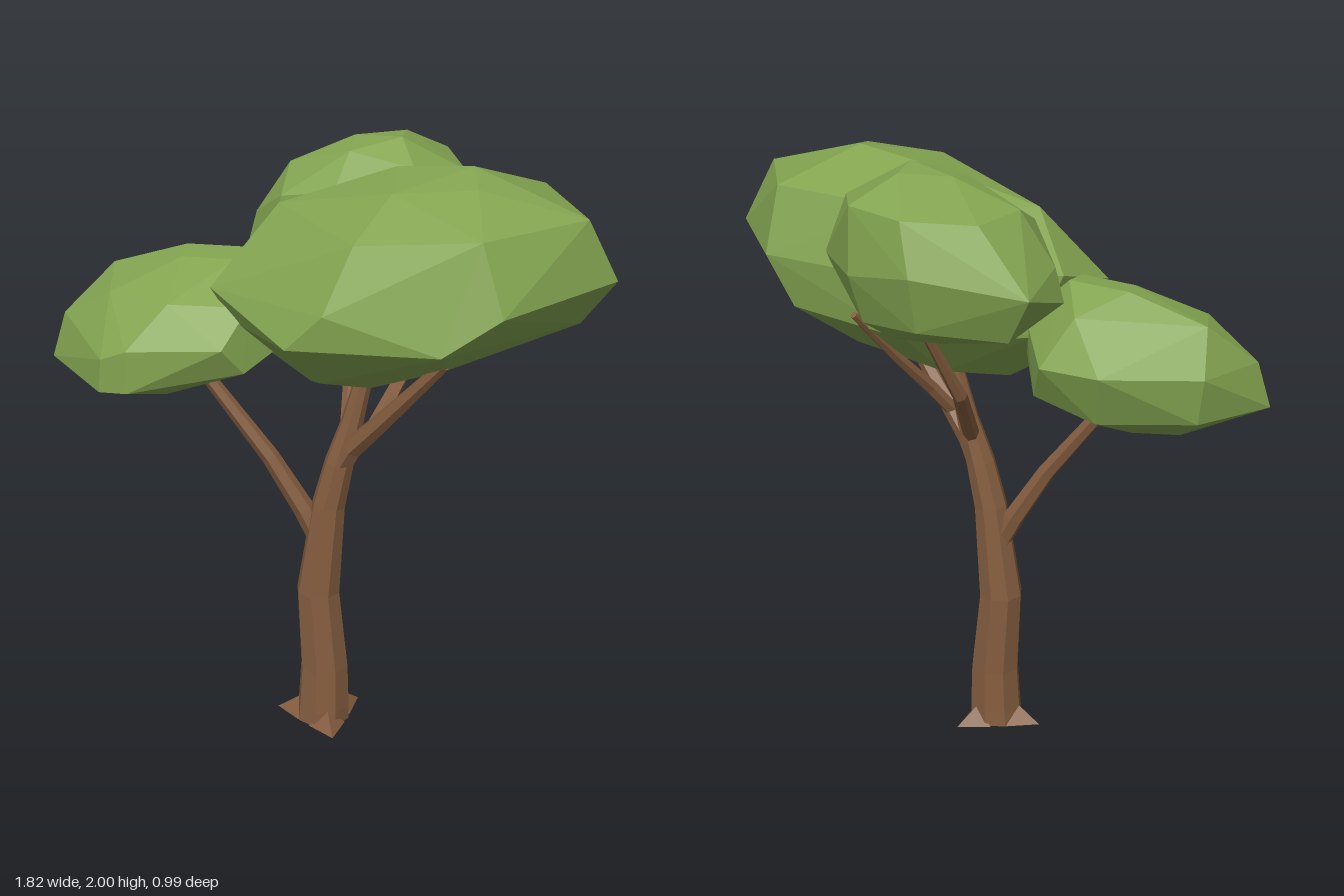
import * as THREE from 'three';
import { ConvexGeometry } from 'three/addons/geometries/ConvexGeometry.js';

const bark = new THREE.MeshStandardMaterial({ color: 0x845d3f, flatShading: true });
const leaves = new THREE.MeshStandardMaterial({ color: 0x83a450, flatShading: true });
const UP = new THREE.Vector3(0, 1, 0);

// Tapered limb lofted along stations of [x, y, z, radius], closed at both ends.
function limbGeometry(stations, sides) {
  const centres = stations.map(([x, y, z]) => new THREE.Vector3(x, y, z));
  const last = stations.length - 1;
  const positions = [];
  const index = [];
  centres.forEach((centre, i) => {
    const tangent = centres[Math.min(i + 1, last)].clone().sub(centres[Math.max(i - 1, 0)]).normalize();
    if (centre.y === 0) tangent.copy(UP);
    const turn = new THREE.Quaternion().setFromUnitVectors(UP, tangent);
    for (let s = 0; s < sides; s++) {
      const a = (s / sides) * Math.PI * 2;
      const r = stations[i][3];
      const p = new THREE.Vector3(Math.sin(a) * r, 0, Math.cos(a) * r).applyQuaternion(turn).add(centre);
      positions.push(p.x, p.y, p.z);
    }
  });
  for (let i = 0; i < last; i++) {
    for (let s = 0; s < sides; s++) {
      const a = i * sides + s;
      const b = i * sides + ((s + 1) % sides);
      index.push(a, b, b + sides, a, b + sides, a + sides);
    }
  }
  const top = last * sides;
  for (let s = 1; s < sides - 1; s++) {
    index.push(0, s + 1, s, top, top + s, top + s + 1);
  }
  const geometry = new THREE.BufferGeometry();
  geometry.setAttribute('position', new THREE.Float32BufferAttribute(positions, 3));
  geometry.setIndex(index);
  const flat = geometry.toNonIndexed();
  flat.computeVertexNormals();
  return flat;
}

// Faceted solid wrapped around a few corner points.
function hull(points) {
  return new ConvexGeometry(points.map((p) => new THREE.Vector3(...p)));
}

// Trunk, leaning and thinning into the crown
const trunk = [
  [-0.025, 0, 0.06, 0.092], [-0.022, 0.05, 0.06, 0.09], [-0.02, 0.2, 0.058, 0.083],
  [-0.042, 0.48, 0.055, 0.074], [-0.006, 0.8, 0.05, 0.056], [0.028, 0.95, 0.045, 0.049],
  [0.07, 1.1, 0.035, 0.037], [0.12, 1.32, 0.02, 0.026],
];

const branches = {
  lowBranch: [[-0.035, 0.66, 0.05, 0.036], [-0.09, 0.77, 0.055, 0.036], [-0.2, 0.95, 0.07, 0.03], [-0.46, 1.29, 0.1, 0.02]],
  frontBranch: [[0.03, 0.93, 0.045, 0.037], [0.08, 1.02, 0.065, 0.037], [0.18, 1.13, 0.1, 0.032], [0.41, 1.39, 0.175, 0.02]],
  forkBranch: [[0.15, 1.1, 0.085, 0.024], [0.195, 1.2, 0.01, 0.024], [0.25, 1.34, -0.12, 0.019], [0.31, 1.52, -0.28, 0.012]],
  backBranch: [[0.055, 1.03, 0.04, 0.028], [0.01, 1.25, -0.14, 0.024], [0.06, 1.5, -0.28, 0.014]],
};

// Leaf clumps, corner points listed from the crown down
const clumps = {
  mainFoliage: [
    [0.45, 1.98, 0.03], [0.2, 1.95, 0], [0.5, 1.95, 0.17], [0.25, 1.93, 0.22],
    [0.62, 1.88, -0.2], [0.18, 1.86, -0.2], [-0.15, 1.83, 0.1], [0.18, 1.81, 0.38], [0.57, 1.86, 0.38], [0.82, 1.87, 0.1],
    [0.905, 1.67, 0.045], [0.65, 1.65, 0.43], [0.12, 1.62, 0.49], [-0.33, 1.58, 0.24], [-0.28, 1.65, 0], [0.15, 1.65, -0.26], [0.63, 1.67, -0.27],
    [0.8, 1.53, 0.06], [0.48, 1.53, 0.48], [0, 1.5, 0.485], [-0.25, 1.48, 0.25], [-0.2, 1.45, -0.05], [0.15, 1.45, -0.24], [0.55, 1.5, -0.24],
    [-0.18, 1.33, 0.1], [-0.05, 1.25, 0.1], [0.15, 1.25, 0.1], [0.4, 1.35, 0.13], [0.4, 1.36, -0.1], [0.1, 1.3, -0.08], [0.05, 1.33, 0.3],
  ],
  backFoliage: [
    [0, 1.98, -0.2], [0.17, 2, -0.15], [0.15, 1.99, -0.27], [0.02, 1.96, -0.08],
    [-0.2, 1.89, -0.15], [-0.15, 1.88, -0.33], [0.05, 1.9, -0.45], [0.25, 1.91, -0.4], [0.36, 1.89, -0.22], [0.24, 1.93, -0.05], [0, 1.85, 0.02], [-0.18, 1.82, 0],
    [-0.31, 1.72, -0.13], [-0.33, 1.68, -0.36], [0, 1.74, -0.495], [0.24, 1.7, -0.43], [0.43, 1.7, -0.24], [0.34, 1.7, -0.04], [0.2, 1.7, 0.015], [-0.2, 1.65, 0.01],
    [-0.34, 1.61, -0.13], [-0.25, 1.53, -0.33], [0, 1.56, -0.45], [0.22, 1.54, -0.38], [0.33, 1.55, -0.2],
    [0, 1.48, -0.3], [0.15, 1.48, -0.32], [-0.1, 1.49, -0.17], [0.15, 1.5, -0.1],
  ],
  lowFoliage: [
    [-0.5, 1.63, 0], [-0.3, 1.64, 0], [-0.3, 1.63, 0.1], [-0.48, 1.62, 0.1],
    [-0.75, 1.55, 0.02], [-0.68, 1.52, 0.22], [-0.45, 1.53, 0.3], [-0.2, 1.53, 0.25], [-0.38, 1.57, -0.14], [-0.15, 1.5, 0],
    [-0.87, 1.41, 0.16], [-0.78, 1.41, -0.07], [-0.64, 1.36, 0.4], [-0.55, 1.4, 0.41], [-0.25, 1.42, 0.36], [-0.5, 1.42, -0.23], [-0.3, 1.42, -0.22], [-0.1, 1.4, 0.1],
    [-0.91, 1.26, 0.18], [-0.65, 1.25, 0.4], [-0.55, 1.26, 0.41], [-0.2, 1.33, 0.3], [-0.47, 1.25, -0.17], [-0.25, 1.3, -0.15], [-0.76, 1.26, -0.06],
    [-0.66, 1.165, 0.06], [-0.52, 1.17, 0.17], [-0.52, 1.17, 0], [-0.3, 1.25, 0.1],
  ],
};

export function createModel() {
  const tree = new THREE.Group();
  tree.name = 'tree';
  const add = (name, geometry, material) => {
    const mesh = new THREE.Mesh(geometry, material);
    mesh.name = name;
    tree.add(mesh);
  };

  add('trunk', limbGeometry(trunk, 8), bark);
  for (const [name, stations] of Object.entries(branches)) add(name, limbGeometry(stations, 6), bark);

  // Three pointed roots spread evenly around the base
  for (let i = 0; i < 3; i++) {
    const root = (angle, radius, y) => {
      const a = Math.PI + (i * Math.PI * 2) / 3 + angle;
      return [-0.025 + Math.cos(a) * radius, y, 0.06 + Math.sin(a) * radius];
    };
    add('root', hull([root(0, 0.163, 0), root(0.75, 0.092, 0), root(-0.75, 0.092, 0), root(0, 0.08, 0.06), root(0, 0.02, 0)]), bark);
  }

  for (const [name, points] of Object.entries(clumps)) add(name, hull(points), leaves);
  return tree;
}
